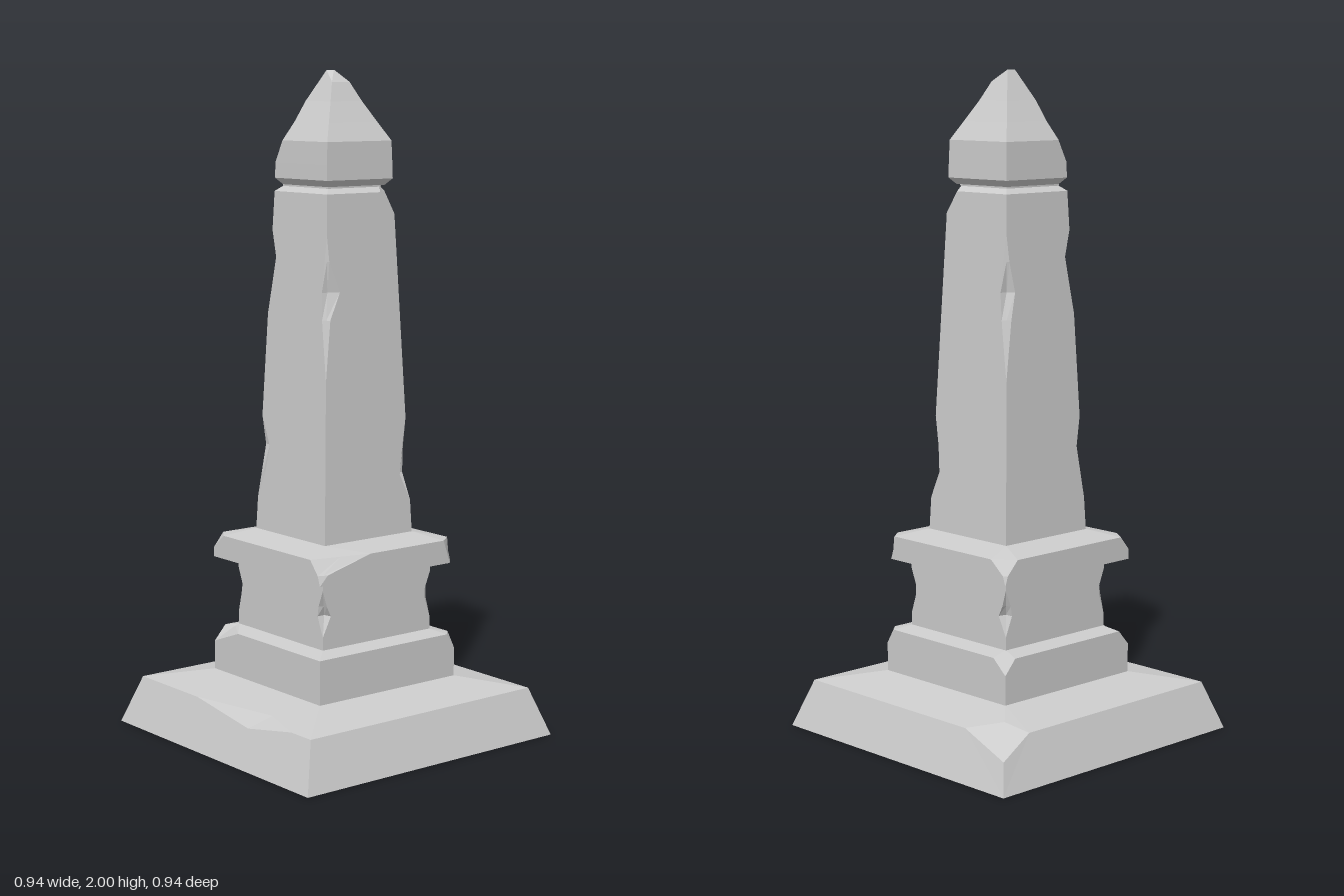
import * as THREE from 'three';

const material = new THREE.MeshStandardMaterial({ color: 0xcccccc, flatShading: true });
// Corners in anticlockwise order seen from above: [x sign, z sign]
const CORNERS = [[1, 1], [1, -1], [-1, -1], [-1, 1]];

// Square cross-section with chipped corners. cuts[corner] = [cut before, cut after, inset, dy]
function ring({ y, w, cuts = {}, front = [] }) {
  const pts = [];
  CORNERS.forEach(([sx, sz], i) => {
    const [a, b, inset, dy = 0] = cuts[i] || [0, 0];
    const alongX = (c) => new THREE.Vector3(sx * (w - c), y, sz * w);
    const alongZ = (c) => new THREE.Vector3(sx * w, y, sz * (w - c));
    const first = i % 2 ? alongZ(a) : alongX(a);
    const last = i % 2 ? alongX(b) : alongZ(b);
    const mid = inset === undefined
      ? first.clone().lerp(last, 0.5)
      : new THREE.Vector3(sx * (w - inset), y + dy, sz * (w - inset));
    pts.push(first, mid, last);
  });
  // Extra points along the front edge
  front.forEach((p) => pts.push(new THREE.Vector3(...p)));
  return pts;
}

// Faceted solid through a stack of rings, closed at both ends
function stack(name, levels) {
  const rings = levels.map(ring);
  const out = [];
  const tri = (a, b, c) => {
    const area = b.clone().sub(a).cross(c.clone().sub(a)).length();
    if (area > 1e-7) out.push(...a.toArray(), ...b.toArray(), ...c.toArray());
  };
  const n = rings[0].length;
  const centre = (r) => r.reduce((s, p) => s.add(p), new THREE.Vector3()).divideScalar(n);
  const top = rings[rings.length - 1];
  const low = centre(rings[0]);
  const high = centre(top);
  for (let i = 0; i < n; i++) {
    const j = (i + 1) % n;
    for (let k = 0; k + 1 < rings.length; k++) {
      const lo = rings[k], up = rings[k + 1];
      tri(lo[i], lo[j], up[j]);
      tri(lo[i], up[j], up[i]);
    }
    tri(low, rings[0][j], rings[0][i]);
    tri(high, top[i], top[j]);
  }
  const geometry = new THREE.BufferGeometry();
  geometry.setAttribute('position', new THREE.Float32BufferAttribute(out, 3));
  geometry.computeVertexNormals();
  const mesh = new THREE.Mesh(geometry, material);
  mesh.name = name;
  return mesh;
}

export function createModel() {
  const group = new THREE.Group();
  group.name = 'obelisk';

  // Sloping base with a broken front edge and back corner
  group.add(stack('base', [
    { y: 0, w: 0.47, front: [[-0.13, 0, 0.47], [0.14, 0, 0.47], [0.33, 0, 0.47]] },
    { y: 0.145, w: 0.42, cuts: { 2: [0.16, 0.1, -0.02, -0.055] },
      front: [[-0.13, 0.145, 0.42], [0.14, 0.113, 0.431], [0.33, 0.145, 0.42]] },
    { y: 0.145, w: 0.42, cuts: { 2: [0.16, 0.1, 0.085, 0.016] },
      front: [[-0.13, 0.145, 0.42], [0.19, 0.153, 0.38], [0.33, 0.145, 0.42]] },
    { y: 0.178, w: 0.255, front: [[-0.1, 0.178, 0.255], [0.1, 0.178, 0.255], [0.2, 0.178, 0.255]] },
  ]));

  // Lower block
  group.add(stack('plinth', [
    { y: 0.17, w: 0.26 },
    { y: 0.265, w: 0.26 },
    { y: 0.31, w: 0.26, cuts: { 1: [0.03, 0.03], 2: [0.05, 0.04], 3: [0.04, 0.12, 0.0, -0.045] } },
    { y: 0.31, w: 0.26, cuts: { 1: [0.03, 0.03], 2: [0.05, 0.04], 3: [0.04, 0.12, 0.045, 0.004] } },
    { y: 0.322, w: 0.205 },
  ]));

  // Middle block, notched halfway up its corners
  group.add(stack('pedestal', [
    { y: 0.315, w: 0.207 },
    { y: 0.36, w: 0.207 },
    { y: 0.42, w: 0.207, cuts: { 0: [0.025, 0.03, 0.025], 1: [0.02, 0.02], 2: [0.03, 0.025, 0.025], 3: [0.02, 0.015] } },
    { y: 0.45, w: 0.207, cuts: { 0: [0.02, 0.015, 0.015], 1: [0.02, 0.02], 2: [0.015, 0.02, 0.015], 3: [0.02, 0.02] } },
    { y: 0.5, w: 0.207 },
    { y: 0.53, w: 0.207 },
  ]));

  // Overhanging slab
  group.add(stack('cap', [
    { y: 0.523, w: 0.207 },
    { y: 0.53, w: 0.26, cuts: { 1: [0.02, 0.02] } },
    { y: 0.56, w: 0.26, cuts: { 0: [0.01, 0.03], 1: [0.03, 0.03], 2: [0.01, 0.01] } },
    { y: 0.602, w: 0.26, cuts: { 0: [0.045, 0.19], 1: [0.045, 0.035], 2: [0.06, 0.05], 3: [0.035, 0.05] } },
    { y: 0.622, w: 0.168 },
  ]));

  // Tapering shaft with chips along its corners
  const chips = [
    [0.615], [0.72],
    [0.8, { 1: [0.035, 0.03, 0.026], 3: [0.01, 0.03] }],
    [0.88, { 1: [0.02, 0.02], 3: [0.02, 0.045, 0.02] }],
    [0.97],
    [1.1],
    [1.28, { 0: [0.02, 0.015], 2: [0.02, 0.02] }],
    [1.36, { 0: [0.022, 0.05, 0.018], 2: [0.025, 0.035, 0.022], 3: [0.012, 0.012] }],
    [1.45, { 0: [0.01, 0.01], 2: [0.012, 0.012], 3: [0.025, 0.025, 0.02] }],
    [1.53], [1.58],
    [1.645, { 1: [0.05, 0.04] }],
  ];
  const shaftWidth = (y) => 0.168 - (0.043 * (y - 0.615)) / 1.03;
  group.add(stack('shaft', [
    ...chips.map(([y, cuts]) => ({ y, w: shaftWidth(y), cuts })),
    { y: 1.66, w: 0.107, cuts: { 1: [0.02, 0.02] } },
    { y: 1.675, w: 0.107 },
  ]));

  // Pointed head with one chipped corner
  const head = stack('head', [
    { y: 1.665, w: 0.107 },
    { y: 1.684, w: 0.124 },
    { y: 1.73, w: 0.123 },
    { y: 1.795, w: 0.121, cuts: { 3: [0.03, 0.03] } },
    { y: 1.85, w: 0.091, cuts: { 3: [0.02, 0.02] } },
    { y: 1.91, w: 0.059 },
    { y: 2, w: 0.015 },
  ]);
  // Break off the +x side of the tip
  const pos = head.geometry.attributes.position;
  for (let i = 0; i < pos.count; i++) {
    if (pos.getY(i) > 1.99 && pos.getX(i) > 0.01) {
      pos.setXYZ(i, 0.033, 1.966, Math.sign(pos.getZ(i)) * 0.033);
    }
  }
  head.geometry.computeVertexNormals();
  group.add(head);

  return group;
}
